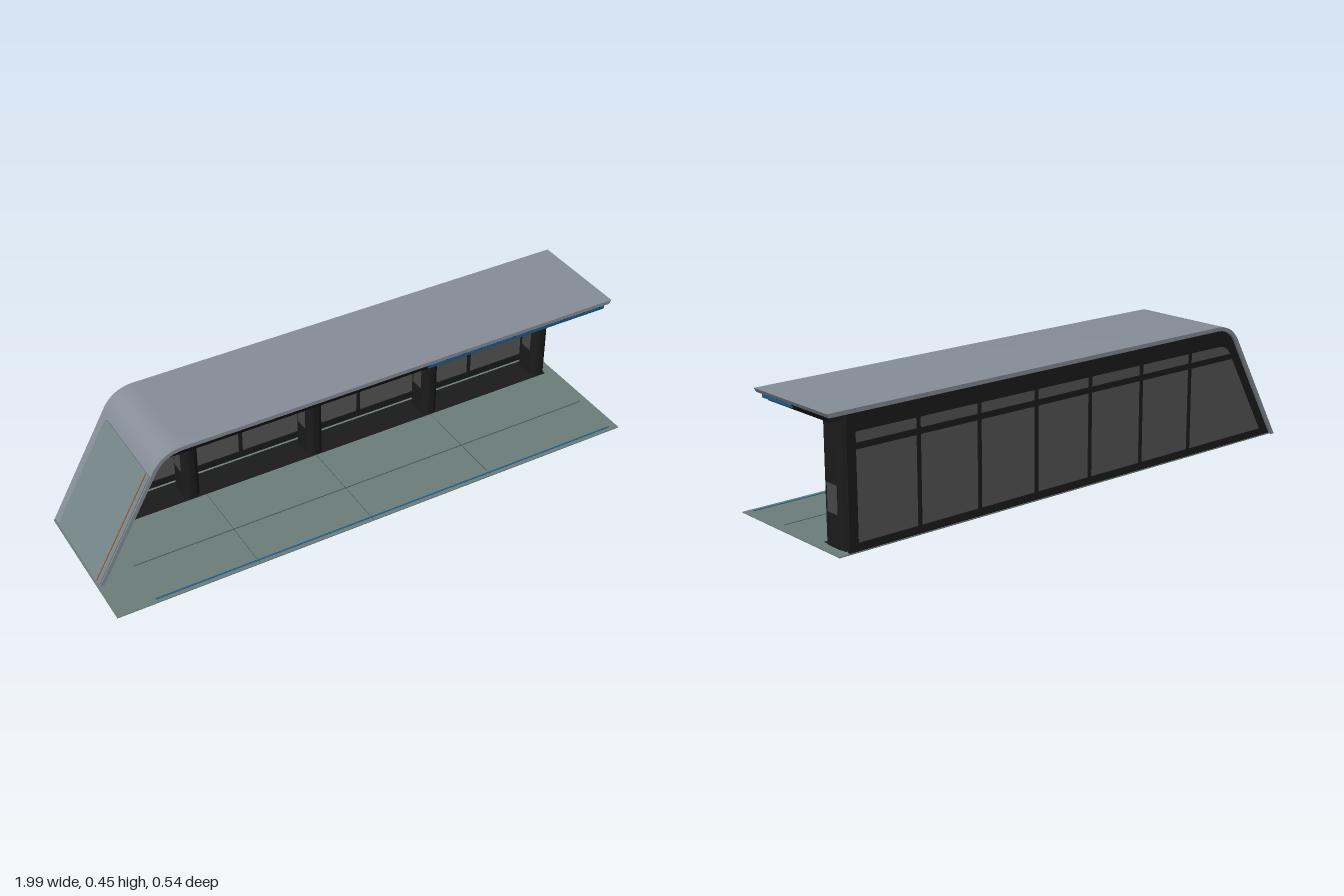
import * as THREE from 'three';
import { toCreasedNormals } from 'three/addons/utils/BufferGeometryUtils.js';

const mat = (color) => new THREE.MeshStandardMaterial({ color });
const M = {
  metal: mat(0x868e98), dark: mat(0x1b1b1b), glass: mat(0x565656), tint: mat(0x75878a),
  paving: mat(0x6c7e79), seam: mat(0x4c5a57), blue: mat(0x1c5c8c), orange: mat(0xa0481a),
  yellow: mat(0xa89a3a), screen: mat(0x484848),
};
const SLOPE = 0.56, K = Math.hypot(1, SLOPE), TOP = 0.452;
// x of the sloped end at height y, offset inward by d
const slopeX = (y, d = 0) => -0.995 + SLOPE * y + K * d;

// Side curve from the ground up the slope and round on to the roof, offset inward by d
function sideCurve(d, y0, endX) {
  const top = TOP - d, cx = slopeX(top, d), t = 0.075 - 0.58 * d;
  const a = new THREE.Vector2(cx - t * SLOPE / K, top - t / K);
  const bend = new THREE.QuadraticBezierCurve(a, new THREE.Vector2(cx, top), new THREE.Vector2(cx + t, top));
  return [new THREE.Vector2(slopeX(y0, d), y0), ...bend.getPoints(12), new THREE.Vector2(endX, top)];
}

function extrude(shape, z0, z1) {
  const g = new THREE.ExtrudeGeometry(shape, { depth: z1 - z0, bevelEnabled: false, curveSegments: 16 });
  g.translate(0, 0, z0);
  return toCreasedNormals(g, 0.5);
}

export function createModel() {
  const model = new THREE.Group();
  const add = (name, geometry, material, parent = model) => {
    const mesh = new THREE.Mesh(geometry, material);
    mesh.name = name;
    parent.add(mesh);
    return mesh;
  };
  // Box given by its limits on each axis
  const box = (name, x0, x1, y0, y1, z0, z1, material, parent) => {
    const g = new THREE.BoxGeometry(x1 - x0, y1 - y0, z1 - z0);
    g.translate((x0 + x1) / 2, (y0 + y1) / 2, (z0 + z1) / 2);
    return add(name, g, material, parent);
  };

  // Paving with seams and guide lines
  box('paving', -1, 0.96, 0.001, 0.004, -0.265, 0.272, M.paving);
  for (const x of [-0.495, -0.065, 0.41])
    box('pavingSeam', x - 0.001, x + 0.001, 0.002, 0.0045, -0.26, 0.27, M.seam);
  box('edgeLine', -0.86, 0.93, 0.002, 0.005, 0.252, 0.258, M.blue);
  box('guideLine', -0.86, 0.93, 0.0005, 0.005, 0.077, 0.081, M.seam);
  box('plinth', -0.87, 0.92, 0, 0.006, -0.24, -0.13, M.dark);

  // Folded shell: sloped end and roof in one band
  const band = [...sideCurve(0, 0, 0.993), ...sideCurve(0.014, 0, 0.985).reverse()];
  add('roofShell', extrude(new THREE.Shape(band), -0.272, 0.115), M.metal);

  // Sloped end window, rounded at its back top corner
  const pane = new THREE.Shape();
  const zb = -0.235, zf = 0.111, len = 0.372 * K, r = 0.02;
  pane.moveTo(zb, 0.006);
  pane.lineTo(zf, 0.006);
  pane.lineTo(zf, len);
  pane.lineTo(zb + r, len);
  pane.quadraticCurveTo(zb, len, zb, len - r);
  const lean = Math.atan(SLOPE);
  const onSlope = (g, d) => g.rotateY(-Math.PI / 2).rotateZ(-lean).translate(slopeX(0, d), 0.003, 0);
  add('endWindow', onSlope(extrude(pane, -0.016, 0.002), 0), M.tint);
  const stripe = new THREE.BoxGeometry(0.004, len - 0.01, 0.02);
  stripe.translate(0.09, len / 2 + 0.003, -0.007);
  add('endWindowStripe', onSlope(stripe, 0), M.orange);

  // Ceiling, tapering inward toward its underside at the front and open end
  const ceiling = new THREE.BoxGeometry(1, 1, 1);
  const p = ceiling.attributes.position;
  for (let i = 0; i < p.count; i++) {
    const low = p.getY(i) < 0;
    p.setXYZ(i,
      p.getX(i) < 0 ? -0.715 : low ? 0.955 : 0.977,
      low ? 0.41 : 0.439,
      p.getZ(i) < 0 ? -0.228 : low ? 0.095 : 0.112);
  }
  ceiling.computeVertexNormals();
  add('ceiling', ceiling, M.dark);
  box('frontLightStrip', 0.24, 0.968, 0.42, 0.43, 0.098, 0.108, M.blue);
  box('endLightStrip', 0.962, 0.971, 0.42, 0.43, -0.055, 0.106, M.blue);
  box('ceilingLight', -0.65, 0.9, 0.4085, 0.411, -0.06, -0.05, M.yellow);
  box('ceilingLightEnd', 0.9, 0.91, 0.4085, 0.411, -0.128, 0.04, M.yellow);

  // Back wall frame with seven bays, each with a main pane and a top light
  const wall = [...sideCurve(0.012, 0.004, 0.92), new THREE.Vector2(0.92, 0.004)].reverse();
  const frame = new THREE.Shape(wall);
  const posts = [-0.54, -0.3, -0.061, 0.177, 0.415, 0.654, 0.894];
  const opening = (pts) => frame.holes.push(new THREE.Path(pts.map(([x, y]) => new THREE.Vector2(x, y))));
  posts.forEach((post, i) => {
    const right = post - 0.007;
    if (i === 0) {
      const s = (y) => slopeX(y, 0.046);
      opening([[s(0.03), 0.03], [s(0.322), 0.322], [right, 0.322], [right, 0.03]]);
      opening([[s(0.342), 0.342], [s(0.355) + 0.003, 0.357], [s(0.37) + 0.015, 0.371],
        [-0.69, 0.377], [right, 0.377], [right, 0.342]]);
    } else {
      const left = posts[i - 1] + 0.007;
      for (const [y0, y1] of [[0.03, 0.322], [0.342, 0.377]])
        opening([[left, y0], [left, y1], [right, y1], [right, y0]]);
    }
  });
  add('backWallFrame', extrude(frame, -0.262, -0.251), M.dark);
  const glass = new THREE.Shape([
    [0.9, 0.02], [0.9, 0.39], [-0.68, 0.39], [slopeX(0.36, 0.03), 0.36], [slopeX(0.02, 0.03), 0.02],
  ].map(([x, y]) => new THREE.Vector2(x, y)));
  add('backWallGlass', extrude(glass, -0.2585, -0.2545), M.glass);

  // Pillars with rounded front and back, and a small screen on each side
  const foot = new THREE.Shape();
  foot.absarc(0, 0.025, 0.03, 0, Math.PI);
  foot.absarc(0, -0.025, 0.03, Math.PI, 2 * Math.PI);
  const pillarGeometry = extrude(foot, 0.004, 0.411).rotateX(-Math.PI / 2);
  for (const x of [-0.54, -0.061, 0.415, 0.894]) {
    const pillar = new THREE.Group();
    pillar.name = 'pillar';
    pillar.position.set(x, 0, -0.185);
    add('pillarBody', pillarGeometry, M.dark, pillar);
    for (const s of [-1, 1])
      box('pillarScreen', s * 0.03 - 0.0015, s * 0.03 + 0.0015, 0.113, 0.205, -0.025, 0.025, M.screen, pillar);
    model.add(pillar);
  }
  return model;
}
